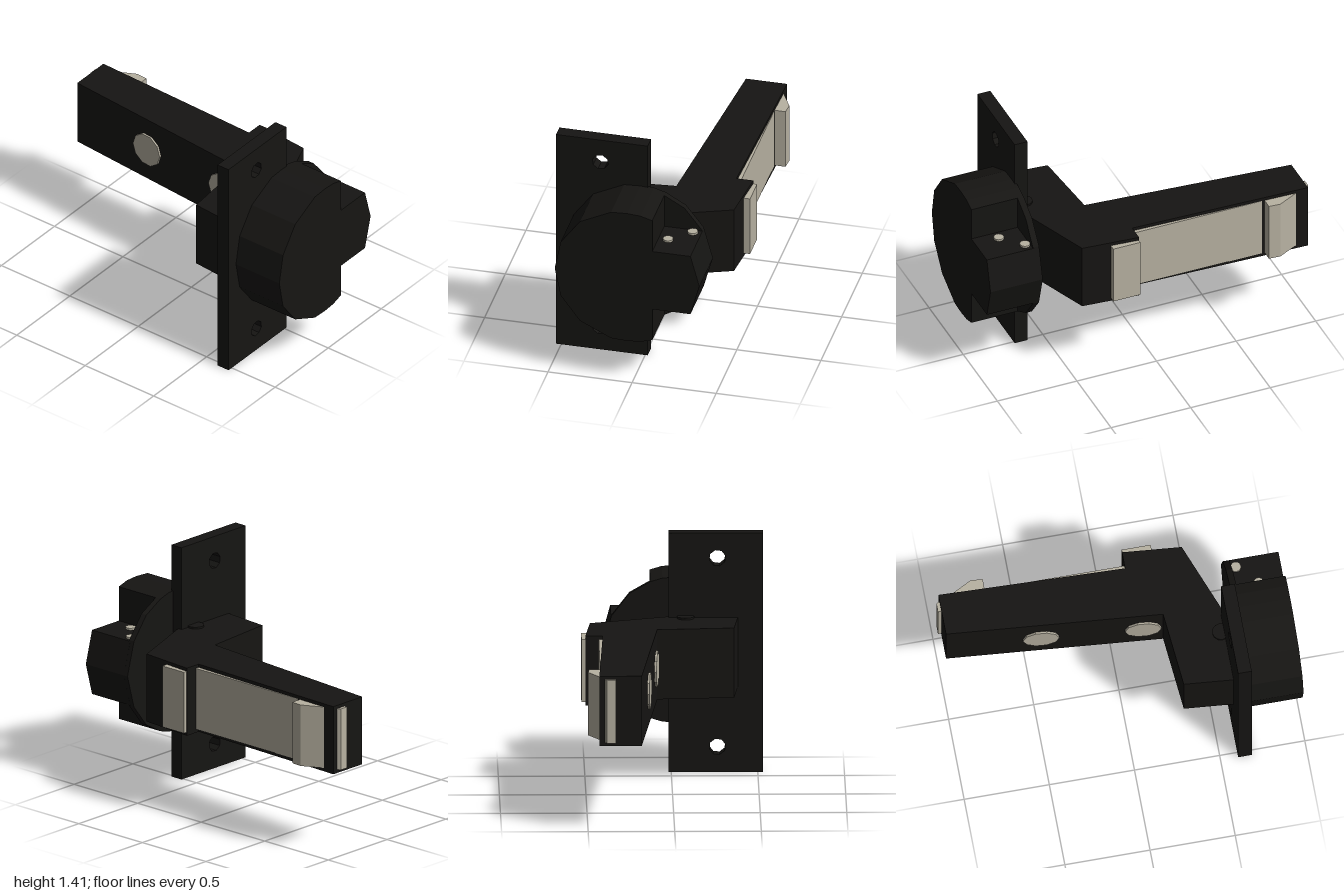
import * as THREE from 'three';

const black = new THREE.MeshStandardMaterial({ color: 0x161513, flatShading: true });
const beige = new THREE.MeshStandardMaterial({ color: 0xb8b2a2, flatShading: true });
const CY = 0.708; // height of the horizontal mid plane

const shapeOf = (pts) => new THREE.Shape(pts.map(([x, y]) => new THREE.Vector2(x, y)));

// Outline in the xy plane, extruded from z0 to z1
function extrudeZ(shape, z0, z1) {
  const geo = new THREE.ExtrudeGeometry(shape, { depth: z1 - z0, bevelEnabled: false });
  return geo.translate(0, 0, z0);
}

// Outline given as (x, z), extruded upward from y0 to y1
function extrudeY(pts, y0, y1) {
  const shape = shapeOf(pts.map(([x, z]) => [x, -z]));
  const geo = new THREE.ExtrudeGeometry(shape, { depth: y1 - y0, bevelEnabled: false });
  return geo.rotateX(-Math.PI / 2).translate(0, y0, 0);
}

export function createModel() {
  const group = new THREE.Group();
  const add = (name, geo, material) => {
    const mesh = new THREE.Mesh(geo, material);
    mesh.name = name;
    group.add(mesh);
    return mesh;
  };

  // Mounting plate with two screw holes
  const plate = shapeOf([[-0.53, 0], [0.015, 0], [0.015, 1.413], [-0.53, 1.413]]);
  for (const y of [0.15, 1.265]) {
    const hole = [];
    for (let i = 0; i < 8; i++) {
      const a = -(i + 0.35) / 8 * Math.PI * 2;
      hole.push(new THREE.Vector2(-0.267 + 0.048 * Math.cos(a), y + 0.048 * Math.sin(a)));
    }
    plate.holes.push(new THREE.Path(hole));
  }
  add('mountingPlate', extrudeZ(plate, 0.603, 0.683), black);

  // Drum outline: upper half (x, height above the middle), mirrored below
  const mirrored = (half) => shapeOf([
    ...half.map(([x, h]) => [x, CY + h]),
    ...half.filter(([, h]) => h > 0).reverse().map(([x, h]) => [x, CY - h]),
  ]);
  const leftHalf = [[-0.46, 0], [-0.425, 0.18], [-0.31, 0.335], [-0.125, 0.425],
    [-0.03, 0.43], [0.05, 0.424], [0.12, 0.403]];
  const flange = mirrored([...leftHalf, [0.24, 0.335], [0.345, 0.2], [0.4, 0]].reverse());
  add('drumFlange', extrudeZ(flange, 0.672, 0.71), black);

  // Drum body, notched above and below a side tab
  const drum = mirrored([...leftHalf, [0.12, 0.195], [0.347, 0.195], [0.4, 0]].reverse());
  add('drumBody', extrudeZ(drum, 0.70, 1.0), black);

  // Rivets on both faces of the tab
  for (const s of [1, -1]) {
    for (const [x, z] of [[0.178, 0.853], [0.297, 0.74]]) {
      const rivet = add('rivet', new THREE.CylinderGeometry(0.03, 0.03, 0.02, 16), beige);
      rivet.position.set(x, CY + s * 0.197, z);
    }
  }

  // Cranked arm and its pivot pin
  add('arm', extrudeY([
    [0.19, -0.98], [0.435, -0.98], [0.402, 0.11], [0.502, 0.11], [0.472, 0.455],
    [0.015, 0.63], [-0.387, 0.63], [-0.36, 0.315], [0.085, 0.275],
  ], 0.502, 0.914), black);
  const pin = add('pivotPin', new THREE.CylinderGeometry(0.05, 0.05, 0.434, 12), black);
  pin.position.set(-0.083, CY, 0.583);

  // Pads on the right side and the tip of the arm
  const pads = {
    longPad: [[0.39, -0.695], [0.427, -0.695], [0.425, 0.112], [0.39, 0.112]],
    stepPad: [[0.47, 0.112], [0.525, 0.112], [0.525, 0.282], [0.47, 0.282]],
    wedgePad: [[0.42, -0.93], [0.497, -0.78], [0.492, -0.71], [0.42, -0.71]],
    tipPad: [[0.34, -0.97], [0.34, -1.0], [0.39, -1.0], [0.41, -0.97]],
  };
  for (const [name, pts] of Object.entries(pads)) {
    add(name, extrudeY(pts, 0.522, 0.894), beige);
  }

  // Round buttons on the other side, lying on its slant
  const slant = Math.atan2(0.105, 1.255);
  for (const z of [-0.43, 0.16]) {
    const geo = new THREE.CylinderGeometry(0.105, 0.105, 0.04, 10);
    geo.rotateZ(Math.PI / 2).rotateY(-slant);
    const button = add('sideButton', geo, beige);
    button.position.set(0.19 - (z + 0.98) * 0.0837 + 0.008, CY, z);
  }

  return group;
}
